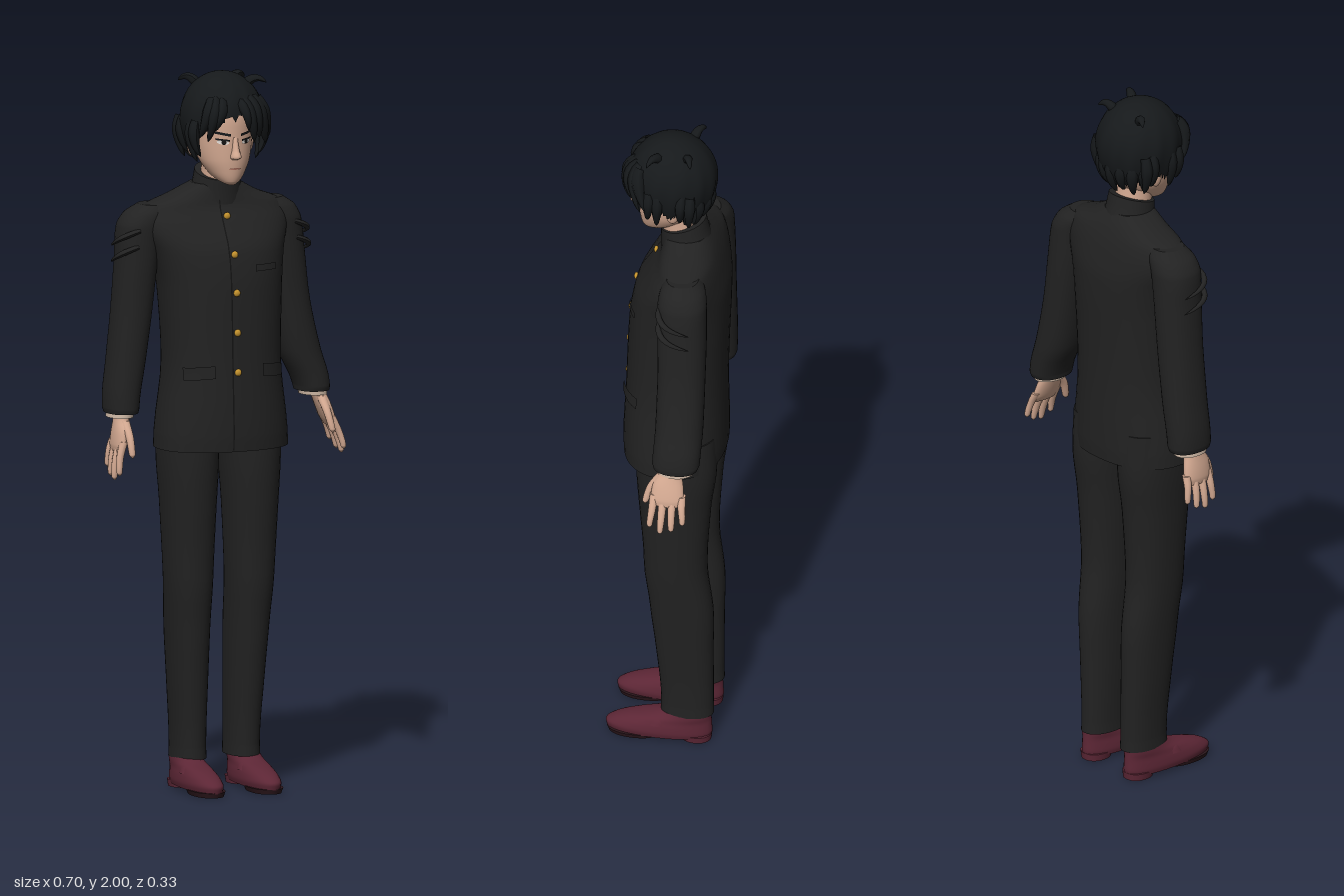
import * as THREE from 'three';
import { mergeVertices } from 'three/addons/utils/BufferGeometryUtils.js';

const C = -0.02; // body centre line

// Monotone smooth interpolation of cross-sections [y, cx, cz, rx, rz]
function sample(secs, y) {
  let i = 0;
  while (i < secs.length - 2 && y > secs[i + 1][0]) i++;
  const h = secs[i + 1][0] - secs[i][0];
  const t = Math.min(1, Math.max(0, (y - secs[i][0]) / h));
  const d = (j, k) => (secs[j + 1][k] - secs[j][k]) / (secs[j + 1][0] - secs[j][0]);
  const slope = (j, k) => {
    if (j === 0) return d(0, k);
    if (j === secs.length - 1) return d(j - 1, k);
    const a = d(j - 1, k), b = d(j, k);
    return a * b <= 0 ? 0 : (2 * a * b) / (a + b);
  };
  return [1, 2, 3, 4].map((k) =>
    (2 * t ** 3 - 3 * t * t + 1) * secs[i][k] + (t ** 3 - 2 * t * t + t) * h * slope(i, k) +
    (3 * t * t - 2 * t ** 3) * secs[i + 1][k] + (t ** 3 - t * t) * h * slope(i + 1, k));
}

// Closed body through horizontal superellipse rings, bottom to top
function loft(secs, { segs = 28, steps = 4, power = 2, tilt = 0 } = {}) {
  const ys = [secs[0][0]];
  for (let i = 1; i < secs.length; i++)
    for (let s = 1; s <= steps; s++)
      ys.push(secs[i - 1][0] + (secs[i][0] - secs[i - 1][0]) * s / steps);
  const pos = [], idx = [];
  const bend = (v) => Math.sign(v) * Math.abs(v) ** (2 / power);
  const ring = (y) => {
    const [cx, cz, rx, rz] = sample(secs, y);
    for (let j = 0; j < segs; j++) {
      const a = j / segs * Math.PI * 2, z = rz * bend(Math.sin(a));
      pos.push(cx + rx * bend(Math.cos(a)), y - tilt * z, cz + z);
    }
    return [cx, y, cz];
  };
  ys.forEach(ring);
  for (let i = 0; i < ys.length - 1; i++)
    for (let j = 0; j < segs; j++) {
      const k = (j + 1) % segs, a = i * segs + j, b = i * segs + k;
      idx.push(a, a + segs, b, b, a + segs, b + segs);
    }
  for (const top of [false, true]) {
    const base = pos.length / 3;
    pos.push(...ring(top ? ys[ys.length - 1] : ys[0]));
    for (let j = 0; j < segs; j++) {
      const a = base + j, b = base + (j + 1) % segs;
      idx.push(base + segs, ...(top ? [b, a] : [a, b]));
    }
  }
  const g = new THREE.BufferGeometry();
  g.setAttribute('position', new THREE.Float32BufferAttribute(pos, 3));
  g.setIndex(idx);
  g.computeVertexNormals();
  return g;
}

// Thin patch laid on the front of a lofted body
function patch(secs, x, y, w, h, { lift = 0.003, power = 2, slant = 0, oval = false } = {}) {
  const g = oval ? new THREE.CircleGeometry(0.5, 16) : new THREE.PlaneGeometry(1, 1, 6, 16);
  const p = g.attributes.position;
  for (let i = 0; i < p.count; i++) {
    const px = x + p.getX(i) * w, py = y + p.getY(i) * h + p.getX(i) * w * slant;
    const [cx, cz, rx, rz] = sample(secs, py);
    const u = Math.min(1, Math.abs((px - cx) / rx));
    p.setXYZ(i, px, py, cz + rz * (1 - u ** power) ** (1 / power) + lift);
  }
  g.computeVertexNormals();
  return g;
}

// Curved strand tapering to a point
function strand(a, b, c, r) {
  const curve = new THREE.QuadraticBezierCurve3(...[a, b, c].map((v) => new THREE.Vector3(...v)));
  const g = new THREE.TubeGeometry(curve, 10, r, 7);
  const p = g.attributes.position, v = new THREE.Vector3();
  for (let i = 0; i < p.count; i++) {
    const t = Math.floor(i / 8) / 10, o = curve.getPointAt(t);
    v.fromBufferAttribute(p, i).sub(o).multiplyScalar((1 - t) ** 0.6 * (0.6 + 0.4 * Math.min(1, t * 3))).add(o);
    p.setXYZ(i, v.x, v.y, v.z);
  }
  g.computeVertexNormals();
  return g;
}

// Hair shell with a ragged hairline, high in front and low at the nape
function hairShell() {
  let g = new THREE.SphereGeometry(1, 72, 20);
  const p = g.attributes.position, uv = g.attributes.uv;
  for (let i = 0; i < p.count; i++) {
    const phi = Math.round(uv.getX(i) * 72) / 72 * Math.PI * 2, t = 1 - uv.getY(i);
    const front = Math.sin(phi);
    const edge = front > 0 ? 1.785 + 0.095 * front ** 1.5 : 1.785 - 0.03 * front * front;
    const drop = (1.87 - edge) / 0.13 + 0.07 * Math.sin(phi * 18);
    const th = t * (Math.PI / 2 + drop), low = th - Math.PI / 2;
    const r = (low > 0 ? 1 - 0.38 * low * low : Math.sin(th)) * (1 + 0.018 * Math.sin(phi * 12 + th * 3) * t);
    p.setXYZ(i, C - Math.cos(phi) * r * 0.115, 1.87 + 0.127 * (low > 0 ? -low : Math.cos(th)), -0.005 + front * r * 0.123);
  }
  g.deleteAttribute('uv');
  g.deleteAttribute('normal');
  g = mergeVertices(g, 1e-5);
  g.computeVertexNormals();
  return g;
}

export function createModel() {
  const root = new THREE.Group();
  root.name = 'uniformedMan';
  const mat = (name, color, side = THREE.FrontSide) => Object.assign(new THREE.MeshStandardMaterial({ color, side }), { name });
  const suit = mat('black cloth', 0x222222, THREE.DoubleSide), seam = mat('seam black', 0x121212);
  const hair = mat('black hair', 0x16191b, THREE.DoubleSide), skin = mat('skin', 0xd6ab93);
  const leather = mat('maroon leather', 0x5c2635), sole = mat('dark sole', 0x2c171c);
  const gold = mat('gold', 0xc9962f), cream = mat('cream cuff', 0xcdb7a4);
  const white = mat('eye white', 0xe6e0da), lip = mat('lip', 0xa9705f);
  const add = (name, geo, m) => {
    const mesh = new THREE.Mesh(geo, m);
    mesh.name = name;
    root.add(mesh);
    return mesh;
  };

  // Jacket with placket, buttons, pocket flaps and standing collar
  const jacket = [[0.955, C, -0.015, 0.188, 0.141], [1, C, -0.015, 0.186, 0.143], [1.2, -0.018, -0.018, 0.165, 0.138],
    [1.4, C, -0.025, 0.174, 0.137], [1.5, -0.025, -0.033, 0.19, 0.13], [1.58, -0.03, -0.048, 0.215, 0.102],
    [1.625, -0.03, -0.055, 0.2, 0.082], [1.655, -0.03, -0.052, 0.13, 0.072], [1.685, -0.025, -0.045, 0.07, 0.06]];
  const P = 2.3;
  add('jacket', loft(jacket, { segs: 48, power: P }), suit);
  add('placketSeam', patch(jacket, -0.04, 1.31, 0.004, 0.7, { power: P, lift: 0.002 }), seam);
  for (const y of [1.175, 1.285, 1.395, 1.5, 1.6]) {
    const [, cz, , rz] = sample(jacket, y);
    const b = add('button', new THREE.SphereGeometry(0.01, 14, 10), gold);
    b.scale.z = 0.6;
    b.position.set(-0.025, y, cz + rz + 0.002);
  }
  for (const s of [-1, 1]) add('pocketFlap', patch(jacket, C + s * 0.108, 1.175, 0.075, 0.035, { power: P, lift: 0.008, slant: -s * 0.1 }), suit);
  add('chestPocket', patch(jacket, 0.07, 1.46, 0.07, 0.018, { power: P, lift: 0.005 }), suit);
  add('collar', loft([[1.65, -0.022, -0.042, 0.074, 0.07], [1.68, -0.022, -0.038, 0.068, 0.066], [1.715, -0.022, -0.034, 0.063, 0.063]], { tilt: 0.3 }), suit);
  add('neck', loft([[1.64, C, -0.035, 0.052, 0.052], [1.72, C, -0.024, 0.05, 0.052], [1.8, C, -0.015, 0.052, 0.055]]), skin);

  // Sleeves
  const sleeves = {
    leftSleeve: [[1.085, 0.272, -0.066, 0.046, 0.062], [1.1, 0.271, -0.067, 0.048, 0.066], [1.2, 0.236, -0.07, 0.058, 0.066],
      [1.34, 0.206, -0.07, 0.056, 0.066], [1.48, 0.185, -0.068, 0.06, 0.068], [1.57, 0.172, -0.066, 0.062, 0.068],
      [1.605, 0.155, -0.064, 0.062, 0.062], [1.632, 0.13, -0.06, 0.05, 0.045]],
    rightSleeve: [[1.055, -0.296, -0.066, 0.044, 0.062], [1.07, -0.296, -0.067, 0.047, 0.066], [1.2, -0.28, -0.07, 0.052, 0.066],
      [1.34, -0.263, -0.07, 0.055, 0.066], [1.48, -0.25, -0.068, 0.058, 0.068], [1.57, -0.24, -0.066, 0.064, 0.068],
      [1.605, -0.222, -0.064, 0.063, 0.062], [1.632, -0.195, -0.06, 0.05, 0.045]],
  };
  for (const [name, secs] of Object.entries(sleeves)) {
    const s = name === 'leftSleeve' ? 1 : -1;
    add(name, loft(secs, { segs: 32, power: 2.2 }), suit);
    for (const y of [1.5, 1.545]) { // cloth folds
      const [cx, cz, rx] = sample(secs, y);
      add('sleeveFold', strand([cx + s * 0.02, y + 0.02, cz + 0.062], [cx + s * (rx + 0.03), y, cz + 0.06], [cx + s * (rx + 0.004), y - 0.03, cz - 0.03], 0.011), suit);
    }
    const [y0, cx, cz, rx, rz] = secs[0];
    add('shirtCuff', loft([[y0 - 0.012, cx + s * 0.004, cz, rx * 0.82, rz * 0.82], [y0 + 0.02, cx, cz, rx * 0.8, rz * 0.8]]), cream);
  }

  // Hands
  for (const [s, x0, y0, lean] of [[1, 0.274, 1.11, 0.37], [-1, -0.294, 1.075, 0.16]]) {
    const sec = (d, z, rx, rz, dx = 0) => [y0 - d, x0 + s * (d * lean + dx), z, rx, rz];
    add('palm', loft([sec(0.125, -0.05, 0.011, 0.036), sec(0.105, -0.05, 0.017, 0.046), sec(0.07, -0.05, 0.02, 0.043),
      sec(0.03, -0.056, 0.021, 0.031), sec(-0.03, -0.06, 0.024, 0.032)], { segs: 20 }), skin);
    [0.175, 0.195, 0.203, 0.188].forEach((len, i) => {
      const z = -0.089 + i * 0.025, out = (i - 1.5) * 0.005;
      add('finger', loft([sec(len, z + out, 0.002, 0.002, 0), sec(len - 0.008, z + out, 0.008, 0.008, 0.002),
        sec(len - 0.045, z + out / 2, 0.01, 0.0105, 0.005), sec(0.095, z, 0.012, 0.0125)], { segs: 10 }), skin);
    });
    add('thumb', loft([sec(0.138, 0.014, 0.002, 0.002, -0.022), sec(0.128, 0.012, 0.009, 0.009, -0.02),
      sec(0.085, -0.002, 0.011, 0.012, -0.012), sec(0.04, -0.035, 0.014, 0.016, -0.002)], { segs: 12 }), skin);
  }

  // Trousers, ankles and shoes
  for (const s of [-1, 1]) {
    const x = (d) => C + s * d;
    add('trouserLeg', loft([[0.085, x(0.08), -0.06, 0.046, 0.074], [0.12, x(0.08), -0.06, 0.045, 0.073], [0.3, x(0.084), -0.053, 0.051, 0.08],
      [0.45, x(0.088), -0.045, 0.057, 0.088], [0.6, x(0.091), -0.029, 0.064, 0.088], [0.8, x(0.092), -0.028, 0.073, 0.1],
      [0.94, x(0.092), -0.032, 0.08, 0.112], [1.05, x(0.09), -0.03, 0.08, 0.11]], { segs: 32, power: 2.2 }), suit);
    add('ankle', loft([[0.05, x(0.08), -0.055, 0.03, 0.042], [0.12, x(0.08), -0.058, 0.032, 0.045]]), skin);
    const shoe = new THREE.Group();
    shoe.name = 'shoe';
    shoe.position.x = x(0.086);
    const part = (name, secs, m) => {
      const mesh = add(name, loft(secs, { segs: 32, power: 2.2 }), m);
      shoe.add(mesh);
    };
    part('shoeUpper', [[0.012, 0, 0.018, 0.046, 0.146], [0.028, 0, 0.018, 0.049, 0.149], [0.045, 0, 0.008, 0.047, 0.138],
      [0.062, 0, -0.015, 0.043, 0.114], [0.078, 0, -0.048, 0.041, 0.08], [0.092, 0, -0.062, 0.039, 0.066]], leather);
    part('frontSole', [[0, 0, 0.085, 0.042, 0.074], [0.014, 0, 0.085, 0.047, 0.079]], sole);
    part('heel', [[0, 0, -0.086, 0.036, 0.042], [0.02, 0, -0.086, 0.039, 0.044]], leather);
    part('vampStrap', [[0.052, 0, 0.018, 0.048, 0.04], [0.068, 0, 0.012, 0.04, 0.034], [0.073, 0, 0.01, 0.03, 0.026]], leather);
    root.add(shoe);
  }

  // Head and face
  const head = [[1.69, C, 0.058, 0.012, 0.014], [1.7, C, 0.042, 0.03, 0.038], [1.725, C, 0.022, 0.052, 0.064], [1.76, C, 0.006, 0.07, 0.084],
    [1.81, C, -0.006, 0.08, 0.098], [1.87, C, -0.01, 0.084, 0.104], [1.93, C, -0.01, 0.07, 0.085], [1.97, C, -0.01, 0.035, 0.04]];
  add('head', loft(head, { segs: 40 }), skin);
  add('nose', loft([[1.762, C, 0.088, 0.008, 0.006], [1.77, C, 0.094, 0.015, 0.021], [1.79, C, 0.092, 0.01, 0.014], [1.825, C, 0.088, 0.007, 0.007]], { segs: 14 }), skin);
  add('mouth', patch(head, C, 1.737, 0.036, 0.005, { oval: true }), lip);
  for (const s of [-1, 1]) {
    add('eyeWhite', patch(head, C + s * 0.034, 1.812, 0.03, 0.013, { oval: true, slant: s * 0.1 }), white);
    add('iris', patch(head, C + s * 0.033, 1.812, 0.012, 0.013, { oval: true, lift: 0.005 }), seam);
    add('upperLid', patch(head, C + s * 0.035, 1.819, 0.035, 0.005, { lift: 0.005, slant: s * 0.12 }), hair);
    add('eyebrow', patch(head, C + s * 0.036, 1.836, 0.042, 0.007, { lift: 0.004, slant: s * 0.2 }), hair);
    const ear = add('ear', new THREE.SphereGeometry(1, 16, 12), skin);
    ear.scale.set(0.012, 0.03, 0.018);
    ear.position.set(C + s * 0.085, 1.795, -0.018);
  }

  // Hair: shell, parted fringe, side tufts, nape and crown tufts
  add('hairShell', hairShell(), hair);
  const fringe = [[0.0, 0.03, 1.81, 0.024], [0.02, 0.05, 1.82, 0.026], [0.035, 0.078, 1.8, 0.026], [0.05, 0.095, 1.815, 0.024],
    [-0.01, 0.01, 1.845, 0.02], [-0.055, -0.085, 1.845, 0.022], [-0.075, -0.1, 1.815, 0.024], [-0.085, -0.118, 1.825, 0.024]];
  for (const [x0, x1, y1, r] of fringe) {
    const z = 0.118 - 5 * (x1 - C) ** 2;
    add('fringeLock', strand([x0, 1.93, 0.075], [(x0 + x1) / 2, 1.9, z + 0.035], [x1, y1, z], r), hair);
  }
  for (const s of [-1, 1])
    for (const [z, y] of [[0.045, 1.77], [0.02, 1.752], [-0.045, 1.77], [-0.07, 1.755]])
      add('sideLock', strand([C + s * 0.098, 1.87, z], [C + s * 0.115, 1.82, z], [C + s * 0.086, y, z + 0.006], 0.022), hair);
  for (let i = -3; i <= 3; i++) {
    const a = i * 0.32, sx = Math.sin(a), cz = Math.cos(a);
    add('napeLock', strand([C + sx * 0.1, 1.85, -0.1 * cz], [C + sx * 0.115, 1.79, -0.12 * cz], [C + sx * 0.085, 1.742 + (i & 1) * 0.012, -0.085 * cz], 0.024), hair);
  }
  for (const [x, z, dx, dz] of [[-0.03, -0.02, -0.035, 0.02], [0.02, -0.05, 0.055, -0.02], [-0.07, -0.05, -0.05, -0.03], [0.03, 0.02, 0.06, 0.03]])
    add('crownTuft', strand([x, 1.95, z], [x + dx * 0.5, 1.997, z + dz * 0.5], [x + dx, 1.965, z + dz], 0.018), hair);
  return root;
}
